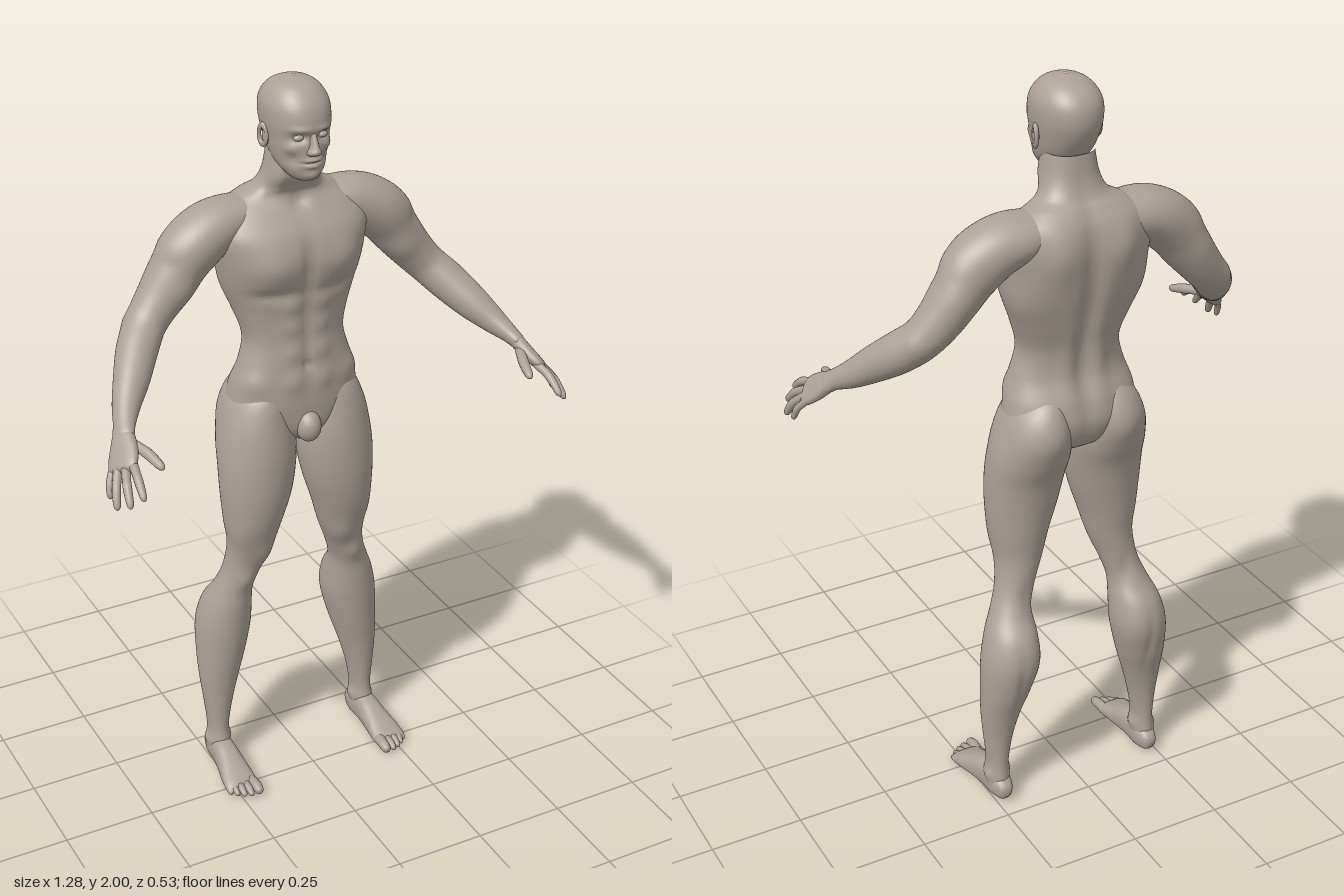
import * as THREE from 'three';

const V = (x, y, z) => new THREE.Vector3(x, y, z);
const skin = new THREE.MeshStandardMaterial({ color: 0xaca197 });
skin.name = 'skin';

// Smooth interpolation of a table of rows, t from 0 to 1
function sampleRows(rows, t) {
  const f = t * (rows.length - 1), i = Math.min(Math.floor(f), rows.length - 2), s = f - i;
  const at = k => rows[Math.max(0, Math.min(rows.length - 1, k))];
  const [p, q, r, w] = [at(i - 1), at(i), at(i + 1), at(i + 2)];
  return q.map((_, k) => q[k] + 0.5 * s * (r[k] - p[k]
    + s * (2 * p[k] - 5 * q[k] + 4 * r[k] - w[k] + s * (3 * (q[k] - r[k]) + w[k] - p[k]))));
}

// Skin over rows [x, y, z, radiusU, radiusV]; side = direction of radiusV, axis = fixed ring normal.
// bumps [x, y, z, sx, sy, sz, height] swell (or dent) the surface, mirrored in x.
function loft(rows, { side, axis, seg = 40, steps = 60, power = 2, bumps = [] }) {
  const pos = [], index = [];
  const centre = t => V(...sampleRows(rows, THREE.MathUtils.clamp(t, 0, 1)));
  const bend = (c, p) => Math.sign(c) * Math.abs(c) ** (2 / p);
  for (let i = 0; i <= steps; i++) {
    const t = i / steps, [x, y, z, a, b] = sampleRows(rows, t);
    const dir = axis ?? centre(t + 0.01).sub(centre(t - 0.01)).normalize();
    const v = side.clone().addScaledVector(dir, -side.dot(dir)).normalize();
    const u = v.clone().cross(dir);
    for (let j = 0; j < seg; j++) {
      const th = (j / seg) * Math.PI * 2;
      const p = V(x, y, z)
        .addScaledVector(u, Math.max(a, 0.0005) * bend(Math.cos(th), power))
        .addScaledVector(v, Math.max(b, 0.0005) * bend(Math.sin(th), power));
      pos.push(p.x, p.y, p.z);
      if (i < steps) {
        const k = i * seg + j, m = i * seg + (j + 1) % seg;
        index.push(k, m, k + seg, m, m + seg, k + seg);
      }
    }
  }
  const geo = new THREE.BufferGeometry();
  geo.setAttribute('position', new THREE.Float32BufferAttribute(pos, 3));
  geo.setIndex(index);
  geo.computeVertexNormals();
  const P = geo.attributes.position, N = geo.attributes.normal;
  for (let i = 0; i < P.count; i++) {
    const p = V().fromBufferAttribute(P, i), n = V().fromBufferAttribute(N, i);
    let h = 0;
    for (const [x, y, z, sx, sy, sz, amp] of bumps) {
      h += amp * Math.exp(-(((Math.abs(p.x) - x) / sx) ** 2) - ((p.y - y) / sy) ** 2 - ((p.z - z) / sz) ** 2);
    }
    p.addScaledVector(n, h);
    P.setXYZ(i, p.x, p.y, p.z);
  }
  geo.computeVertexNormals();
  return geo;
}

// Upright loft from rows [y, x, halfWidth, zBack, zFront]
const upright = (rows, opts) => loft(
  rows.map(([y, x, w, b, f]) => [x, y, (b + f) / 2, (f - b) / 2, w]),
  { side: V(1, 0, 0), axis: V(0, 1, 0), ...opts });

// Finger or toe along points, round at the tip
function digit(points, r) {
  const curve = new THREE.CatmullRomCurve3(points.map(p => V(...p)));
  const shape = [[0, 1], [0.2, 1.02], [0.4, 0.95], [0.55, 0.98], [0.75, 0.88], [0.9, 0.75], [0.97, 0.45], [1, 0.02]];
  const rows = shape.map(([t, k]) => [...curve.getPoint(t).toArray(), r * k, r * k]);
  return loft(rows, { side: V(1, 0, 0.2), seg: 12, steps: 18 });
}

const ellipsoid = (x, y, z, rx, ry, rz) =>
  new THREE.SphereGeometry(1, 24, 16).scale(rx, ry, rz).translate(x, y, z);

function mirrored(geo) {
  const g = geo.clone().scale(-1, 1, 1), a = g.index.array;
  for (let i = 0; i < a.length; i += 3) [a[i], a[i + 1]] = [a[i + 1], a[i]];
  g.computeVertexNormals();
  return g;
}

export function createModel() {
  const model = new THREE.Group();
  model.name = 'figure';
  const add = (name, geo) => {
    const mesh = new THREE.Mesh(geo, skin);
    mesh.name = name;
    model.add(mesh);
  };
  const pair = (name, geo) => { add(name + 'Left', geo); add(name + 'Right', mirrored(geo)); };

  // Torso and neck
  const abs = [1.21, 1.29, 1.36, 1.42].map(y => [0.042, y, -0.02, 0.026, 0.028, 0.04, 0.007]);
  add('torso', upright([
    [1.02, 0, 0.02, -0.15, -0.06], [1.06, 0, 0.1, -0.21, -0.025], [1.12, 0, 0.172, -0.235, -0.018],
    [1.18, 0, 0.174, -0.228, -0.018], [1.25, 0, 0.152, -0.2, -0.024], [1.32, 0, 0.137, -0.202, -0.03],
    [1.4, 0, 0.158, -0.225, -0.03], [1.48, 0, 0.184, -0.245, -0.018], [1.55, 0, 0.2, -0.253, -0.01],
    [1.61, 0, 0.21, -0.252, -0.022], [1.66, 0, 0.19, -0.242, -0.058], [1.695, 0, 0.135, -0.222, -0.085],
    [1.72, 0, 0.09, -0.2, -0.08], [1.76, 0, 0.072, -0.184, -0.058], [1.82, 0, 0.062, -0.175, -0.055],
  ], {
    seg: 96, steps: 120, power: 2.35, bumps: [
      ...abs,
      [0.095, 1.53, -0.01, 0.065, 0.055, 0.06, 0.016],    // chest
      [0.1, 1.455, -0.02, 0.07, 0.018, 0.05, -0.009],     // below chest
      [0, 1.53, 0, 0.014, 0.09, 0.05, -0.012],            // breastbone
      [0, 1.32, -0.02, 0.01, 0.12, 0.05, -0.006],         // midline
      [0, 1.25, -0.02, 0.009, 0.012, 0.04, -0.01],        // navel
      [0, 1.42, -0.24, 0.022, 0.24, 0.06, -0.02],         // spine
      [0.045, 1.27, -0.2, 0.025, 0.09, 0.05, 0.008],      // lower back
      [0.085, 1.6, -0.25, 0.045, 0.07, 0.06, 0.015],      // shoulder blade
      [0.16, 1.47, -0.18, 0.05, 0.07, 0.07, 0.008],       // flank
      [0.14, 1.21, -0.05, 0.04, 0.03, 0.05, 0.007],       // hip crest
      [0, 1.68, -0.075, 0.02, 0.02, 0.03, -0.012],        // throat notch
      [0.05, 1.75, -0.07, 0.015, 0.05, 0.04, 0.006],      // neck tendon
    ],
  }));
  add('groin', ellipsoid(0, 1.075, -0.03, 0.034, 0.045, 0.042));

  // Head
  add('head', upright([
    [1.752, 0, 0.012, -0.07, -0.03], [1.763, 0, 0.036, -0.1, -0.008], [1.79, 0, 0.058, -0.14, 0.002],
    [1.82, 0, 0.069, -0.17, 0.004], [1.86, 0, 0.076, -0.195, 0.005], [1.9, 0, 0.082, -0.208, 0.009],
    [1.94, 0, 0.081, -0.205, 0], [1.97, 0, 0.067, -0.185, -0.021], [1.99, 0, 0.043, -0.152, -0.05],
    [2, 0, 0.003, -0.105, -0.095],
  ], {
    seg: 96, steps: 110, power: 2.15, bumps: [
      [0.032, 1.872, 0, 0.019, 0.012, 0.04, -0.014],      // eye socket
      [0.03, 1.893, 0, 0.025, 0.008, 0.04, 0.004],        // brow
      [0.05, 1.845, -0.02, 0.016, 0.014, 0.03, 0.005],    // cheekbone
      [0.046, 1.815, -0.02, 0.016, 0.018, 0.03, -0.006],  // cheek hollow
      [0, 1.815, 0, 0.021, 0.006, 0.03, 0.007],           // upper lip
      [0, 1.808, 0, 0.026, 0.003, 0.03, -0.005],          // mouth line
      [0, 1.8, 0, 0.018, 0.006, 0.03, 0.006],             // lower lip
      [0, 1.775, 0, 0.02, 0.011, 0.03, 0.006],            // chin
    ],
  }));
  add('nose', upright([
    [1.825, 0, 0.004, -0.01, 0.006], [1.83, 0, 0.016, -0.015, 0.019], [1.839, 0, 0.018, -0.015, 0.029],
    [1.85, 0, 0.012, -0.015, 0.026], [1.87, 0, 0.009, -0.015, 0.016], [1.89, 0, 0.009, -0.015, 0.006],
  ], { seg: 24, steps: 24 }));
  pair('eye', ellipsoid(0.032, 1.872, -0.016, 0.014, 0.009, 0.013));
  const ear = new THREE.TorusGeometry(0.017, 0.006, 10, 24).scale(0.8, 1.4, 1)
    .rotateY(Math.PI / 2 - 0.3).translate(0.083, 1.86, -0.105);
  pair('earRim', ear);
  pair('earLobe', ellipsoid(0.079, 1.857, -0.1, 0.006, 0.022, 0.014));

  // Legs
  pair('leg', upright([
    [0.03, 0.23, 0.03, -0.193, -0.11], [0.07, 0.229, 0.032, -0.188, -0.1], [0.12, 0.228, 0.029, -0.185, -0.108],
    [0.2, 0.225, 0.04, -0.19, -0.105], [0.28, 0.218, 0.055, -0.205, -0.1], [0.36, 0.207, 0.068, -0.23, -0.092],
    [0.45, 0.196, 0.076, -0.246, -0.084], [0.52, 0.188, 0.068, -0.232, -0.08], [0.58, 0.176, 0.054, -0.192, -0.077],
    [0.64, 0.157, 0.052, -0.172, -0.066], [0.72, 0.137, 0.063, -0.167, -0.042], [0.8, 0.131, 0.081, -0.175, -0.017],
    [0.88, 0.122, 0.097, -0.186, -0.004], [0.96, 0.115, 0.105, -0.202, -0.001], [1.03, 0.11, 0.105, -0.23, -0.004],
    [1.1, 0.108, 0.094, -0.247, -0.014], [1.16, 0.1, 0.075, -0.236, -0.03], [1.2, 0.09, 0.045, -0.205, -0.06],
    [1.225, 0.09, 0.002, -0.15, -0.1],
  ], {
    seg: 56, steps: 130, bumps: [
      [0.165, 0.62, -0.065, 0.026, 0.032, 0.03, 0.009],   // kneecap
      [0.115, 0.7, -0.05, 0.03, 0.045, 0.04, 0.008],      // inner thigh muscle
      [0.185, 0.75, -0.05, 0.03, 0.07, 0.04, 0.006],      // outer thigh muscle
      [0.155, 0.46, -0.22, 0.03, 0.07, 0.05, 0.006],      // calf
      [0.195, 0.4, -0.25, 0.012, 0.09, 0.05, -0.005],     // calf groove
      [0.15, 0.62, -0.17, 0.02, 0.04, 0.03, -0.006],      // back of knee
      [0.2, 0.085, -0.145, 0.012, 0.016, 0.02, 0.006],    // inner ankle
      [0.258, 0.075, -0.15, 0.012, 0.016, 0.02, 0.006],   // outer ankle
      [0.09, 1.1, -0.24, 0.05, 0.055, 0.05, 0.007],       // buttock
      [0.21, 1.1, -0.15, 0.04, 0.05, 0.04, -0.006],       // hip hollow
    ],
  }));

  // Feet and toes
  pair('foot', loft([
    [0.228, 0.03, -0.206, 0.004, 0.004], [0.228, 0.032, -0.196, 0.024, 0.02], [0.228, 0.04, -0.16, 0.039, 0.031],
    [0.23, 0.044, -0.11, 0.043, 0.033], [0.232, 0.036, -0.06, 0.035, 0.038], [0.235, 0.025, -0.01, 0.024, 0.045],
    [0.236, 0.018, 0.02, 0.017, 0.046], [0.236, 0.014, 0.036, 0.008, 0.04], [0.236, 0.014, 0.042, 0.001, 0.03],
  ], { side: V(1, 0, 0), power: 2.4 }));
  [[0.203, 0.076, 0.015], [0.226, 0.073, 0.0105], [0.244, 0.065, 0.01], [0.26, 0.054, 0.0095], [0.274, 0.04, 0.009]]
    .forEach(([x, z, r], i) => pair('toe' + (i + 1),
      digit([[0.22 + (x - 0.22) * 0.8, 0.02, z - 0.065], [x, 0.021, z - 0.03], [x, r, z]], r)));

  // Arms with shoulders
  pair('arm', loft([
    [0.04, 1.668, -0.16, 0.02, 0.04], [0.13, 1.645, -0.158, 0.054, 0.072], [0.21, 1.623, -0.15, 0.07, 0.08],
    [0.275, 1.577, -0.146, 0.075, 0.075], [0.32, 1.515, -0.143, 0.065, 0.064], [0.365, 1.458, -0.14, 0.057, 0.06],
    [0.405, 1.412, -0.125, 0.052, 0.055], [0.445, 1.37, -0.085, 0.052, 0.053], [0.485, 1.325, -0.03, 0.046, 0.046],
    [0.522, 1.285, 0.02, 0.035, 0.037], [0.548, 1.257, 0.065, 0.024, 0.03], [0.563, 1.238, 0.092, 0.018, 0.03],
    [0.567, 1.23, 0.1, 0.002, 0.002],
  ], {
    side: V(-0.35, 0.25, 1), seg: 48, steps: 100, bumps: [
      [0.27, 1.6, -0.08, 0.05, 0.06, 0.05, 0.006],        // front shoulder
      [0.31, 1.49, -0.08, 0.04, 0.045, 0.04, 0.008],      // biceps
      [0.34, 1.52, -0.2, 0.045, 0.05, 0.04, 0.009],       // triceps
      [0.34, 1.57, -0.13, 0.02, 0.02, 0.06, -0.005],      // shoulder groove
      [0.43, 1.41, -0.15, 0.025, 0.025, 0.025, 0.008],    // elbow
    ],
  }));

  // Hands and fingers
  pair('palm', loft([
    [0.553, 1.252, 0.07, 0.016, 0.024], [0.562, 1.238, 0.09, 0.019, 0.031], [0.574, 1.218, 0.118, 0.018, 0.041],
    [0.587, 1.2, 0.144, 0.016, 0.044], [0.594, 1.19, 0.158, 0.012, 0.04], [0.598, 1.184, 0.165, 0.001, 0.03],
  ], { side: V(-0.45, 0.35, 0.8), seg: 32, steps: 30, power: 2.4 }));
  const fingers = {
    thumb: [[0.56, 1.232, 0.1], [0.533, 1.222, 0.16], [0.516, 1.203, 0.225]],
    indexFinger: [[0.572, 1.207, 0.165], [0.58, 1.19, 0.215], [0.585, 1.153, 0.265]],
    middleFinger: [[0.587, 1.195, 0.158], [0.604, 1.17, 0.205], [0.613, 1.13, 0.246]],
    ringFinger: [[0.6, 1.188, 0.142], [0.622, 1.155, 0.18], [0.633, 1.112, 0.208]],
    littleFinger: [[0.605, 1.184, 0.124], [0.625, 1.155, 0.146], [0.632, 1.12, 0.162]],
  };
  for (const [name, pts] of Object.entries(fingers)) {
    pair(name, digit(pts, name === 'thumb' ? 0.014 : name === 'littleFinger' ? 0.0095 : 0.0115));
  }
  return model;
}
